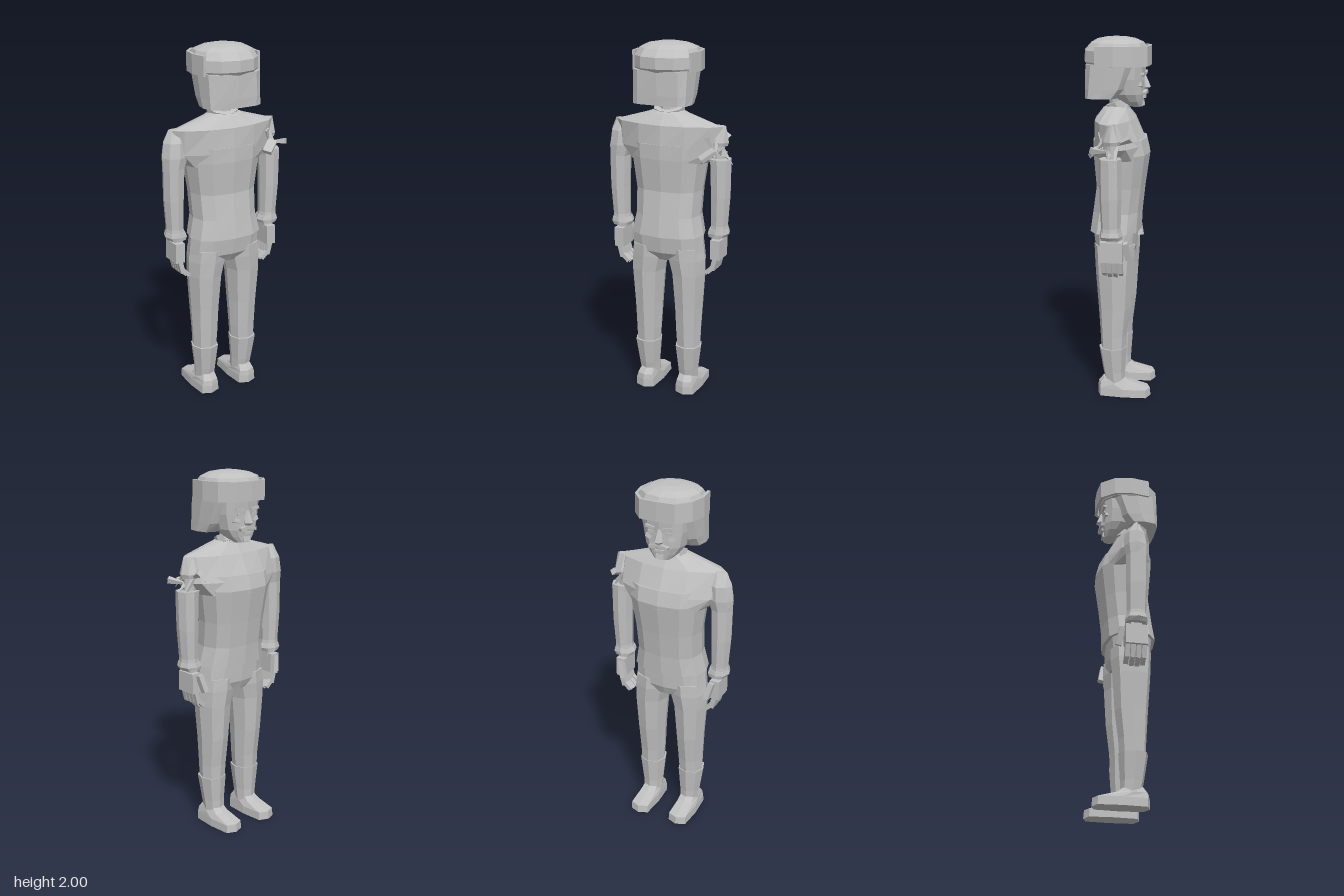
import * as THREE from 'three';

const cloth = new THREE.MeshStandardMaterial({ color: 0xc0c0c0 });
cloth.name = 'plain grey';

// Faceted loft; sections run upward as [y, centreX, halfWidth, zFront, zBack, power]
// power below 1 squares the outline, above 1 makes it lens shaped
function loft(sections, sides = 8) {
  const pos = [];
  const bend = (v, p) => Math.sign(v) * Math.pow(Math.abs(v) < 1e-6 ? 0 : Math.abs(v), p);
  const rings = sections.map(([y, cx, w, zf, zb, p = 1]) => {
    const ring = [];
    for (let i = 0; i < sides; i++) {
      const a = (i / sides) * Math.PI * 2;
      ring.push([cx + w * bend(Math.cos(a), p), y, (zf + zb) / 2 + ((zb - zf) / 2) * bend(Math.sin(a), p)]);
    }
    return ring;
  });
  const centre = ([y, cx, , zf, zb]) => [cx, y, (zf + zb) / 2];
  const low = centre(sections[0]), high = centre(sections[sections.length - 1]);
  const last = rings[rings.length - 1];
  for (let i = 0; i < sides; i++) {
    const j = (i + 1) % sides;
    for (let k = 0; k < rings.length - 1; k++) {
      const a = rings[k][i], b = rings[k][j], c = rings[k + 1][i], d = rings[k + 1][j];
      pos.push(...a, ...c, ...b, ...b, ...c, ...d);
    }
    pos.push(...low, ...rings[0][i], ...rings[0][j], ...high, ...last[j], ...last[i]);
  }
  const g = new THREE.BufferGeometry();
  g.setAttribute('position', new THREE.Float32BufferAttribute(pos, 3));
  g.computeVertexNormals();
  return g;
}

export function createModel() {
  const model = new THREE.Group();
  model.name = 'standingFigure';
  const add = (name, geometry, parent = model) => {
    const m = new THREE.Mesh(geometry, cloth);
    m.name = name;
    parent.add(m);
    return m;
  };
  const box = (name, w, h, d, x, y, z, rx = 0, rz = 0, parent = model) => {
    const m = add(name, new THREE.BoxGeometry(w, h, d), parent);
    m.position.set(x, y, z);
    m.rotation.set(rx, 0, rz);
    return m;
  };

  // Jacket: narrow body, then a lens-shaped yoke reaching both shoulders
  add('jacketBody', loft([
    [0.95, 0, 0.21, -0.125, 0.16, 0.8], [1.06, 0, 0.185, -0.13, 0.145, 0.8],
    [1.2, 0, 0.19, -0.145, 0.125, 0.8], [1.38, 0, 0.215, -0.17, 0.14, 0.8],
    [1.46, 0, 0.22, -0.15, 0.14, 0.8],
  ], 12));
  add('jacketYoke', loft([
    [1.36, 0, 0.23, -0.168, 0.138, 0.95], [1.43, 0, 0.31, -0.155, 0.14, 1.2],
    [1.565, 0, 0.31, -0.09, 0.132, 1.2], [1.62, 0, 0.12, -0.055, 0.09, 1],
    [1.635, 0, 0.08, -0.05, 0.07, 1],
  ], 12));

  // Trousers
  add('trouserSeat', loft([
    [0.8, 0, 0.12, -0.08, 0.09, 0.8], [0.85, 0, 0.212, -0.1, 0.125, 0.8],
    [0.96, 0, 0.203, -0.105, 0.14, 0.8],
  ], 12));

  for (const s of [1, -1]) {
    const side = s > 0 ? 'left' : 'right';
    const c = (x) => x * s;
    // Leg, boot shaft and shoe
    add(side + 'TrouserLeg', loft([
      [0.27, c(0.125), 0.068, -0.055, 0.085, 0.9], [0.36, c(0.123), 0.073, -0.06, 0.09, 0.9],
      [0.52, c(0.123), 0.08, -0.08, 0.1, 0.9], [0.72, c(0.122), 0.095, -0.092, 0.115, 0.9],
      [0.81, c(0.11), 0.107, -0.1, 0.122, 0.9], [0.88, c(0.105), 0.103, -0.1, 0.125, 0.9],
    ]));
    add(side + 'BootShaft', loft([
      [0.07, c(0.12), 0.056, -0.05, 0.06, 0.9], [0.14, c(0.122), 0.06, -0.05, 0.075, 0.9],
      [0.285, c(0.125), 0.077, -0.06, 0.098, 0.9],
    ]));
    add(side + 'Shoe', loft([
      [0, c(0.124), 0.063, -0.196, 0.105, 0.45], [0.045, c(0.124), 0.061, -0.192, 0.105, 0.45],
      [0.075, c(0.123), 0.055, -0.08, 0.1, 0.6], [0.105, c(0.121), 0.047, -0.04, 0.075, 0.7],
    ]));

    // Sleeve: one side is whole, the other is torn open below the shoulder
    const forearm = [
      [0.97, c(0.295), 0.055, -0.055, 0.06, 0.9], [1.02, c(0.297), 0.048, -0.05, 0.055, 0.9],
      [1.18, c(0.302), 0.055, -0.055, 0.062, 0.9], [1.36, c(0.3), 0.06, -0.055, 0.065, 0.9],
    ];
    const shoulder = [
      [1.42, c(0.29), 0.075, -0.065, 0.07, 1], [1.5, c(0.285), 0.07, -0.06, 0.06, 1.1],
      [1.568, c(0.275), 0.05, -0.015, 0.02, 1.1],
    ];
    if (s < 0) add('rightSleeve', loft([...forearm, ...shoulder]));
    else {
      add('leftLowerSleeve', loft([...forearm, [1.39, 0.297, 0.064, -0.055, 0.065, 0.9]]));
      add('leftTornShoulder', loft([
        [1.46, 0.275, 0.06, -0.05, 0.05, 1], [1.48, 0.28, 0.062, -0.055, 0.055, 1.1], shoulder[2],
      ]));
      add('leftInnerArm', loft([[1.38, 0.285, 0.035, -0.03, 0.03], [1.47, 0.28, 0.04, -0.03, 0.03]]));
      // Ragged strips round the tear
      for (let i = 0; i < 9; i++) {
        const a = (i / 9) * Math.PI * 2;
        const strip = add('tornStrip', new THREE.ConeGeometry(0.022, 0.1 + 0.03 * (i % 3), 4).toNonIndexed());
        strip.geometry.computeVertexNormals();
        strip.position.set(0.28 + 0.045 * Math.cos(a), 1.41 + 0.02 * (i % 4), 0.01 + 0.055 * Math.sin(a));
        strip.rotation.set(Math.PI + 0.7 * Math.sin(a * 2), a, 0.9 * (i % 2 ? 1 : -1));
      }
      box('tornFlap', 0.09, 0.022, 0.05, 0.255, 1.42, 0.09, 0.3, 0.4).rotation.y = 0.7;
    }
    add(side + 'Cuff', loft([
      [0.955, c(0.29), 0.05, -0.058, 0.062, 0.8], [0.975, c(0.293), 0.062, -0.06, 0.064, 0.8],
      [1.0, c(0.295), 0.053, -0.054, 0.06, 0.8],
    ]));

    // Hand with inward-curling fingers
    const hand = new THREE.Group();
    hand.name = side + 'Hand';
    model.add(hand);
    box('wrist', 0.045, 0.05, 0.06, c(0.285), 0.95, 0, 0, 0, hand);
    box('palm', 0.055, 0.11, 0.12, c(0.293), 0.885, 0, 0, 0, hand);
    for (let i = 0; i < 4; i++) {
      const z = -0.045 + i * 0.03, drop = i % 3 ? 0 : 0.008;
      box('fingerBase', 0.026, 0.075, 0.026, c(0.284), 0.803, z, 0, -0.25 * s, hand);
      box('fingerTip', 0.022, 0.05, 0.024, c(0.255), 0.755 + drop, z, 0, -0.8 * s, hand);
    }
    box('thumb', 0.03, 0.1, 0.032, c(0.27), 0.885, -0.078, 0.2, -0.25 * s, hand);
  }

  // Neck and tilted collar
  add('neck', loft([[1.59, 0, 0.062, -0.055, 0.06], [1.74, 0, 0.062, -0.06, 0.05]], 10));
  const collar = add('collar', loft([[-0.022, 0, 0.085, -0.07, 0.07], [0.022, 0, 0.088, -0.07, 0.07]], 10));
  collar.position.set(0, 1.637, 0.005);
  collar.rotation.x = -0.4;
  collar.rotation.x *= -1;

  // Face
  add('face', loft([
    [1.63, 0, 0.045, -0.128, -0.06, 0.8], [1.66, 0, 0.08, -0.132, 0, 0.8],
    [1.7, 0, 0.108, -0.138, 0.05, 0.8], [1.78, 0, 0.125, -0.138, 0.06, 0.8],
    [1.87, 0, 0.13, -0.145, 0.06, 0.8],
  ], 12));
  add('nose', loft([
    [1.722, 0, 0.016, -0.155, -0.12], [1.735, 0, 0.024, -0.172, -0.12], [1.8, 0, 0.01, -0.143, -0.12],
  ], 6));
  box('lowerLip', 0.05, 0.012, 0.02, 0, 1.682, -0.134);
  box('chin', 0.045, 0.03, 0.025, 0, 1.648, -0.122, 0.2);
  for (const s of [1, -1]) {
    box('moustacheHalf', 0.055, 0.018, 0.026, s * 0.027, 1.708, -0.138, 0, -s * 0.25);
    box('eyebrow', 0.055, 0.014, 0.022, s * 0.052, 1.807, -0.132, 0, s * 0.15);
    box('eye', 0.034, 0.014, 0.008, s * 0.05, 1.78, -0.133);
    box('cheekbone', 0.035, 0.022, 0.02, s * 0.066, 1.75, -0.121, 0.2, s * 0.3);
  }

  // Long hair hanging behind and beside the face
  add('hair', loft([
    [1.68, 0, 0.162, 0.0, 0.175, 0.5], [1.73, 0, 0.164, -0.045, 0.177, 0.5],
    [1.86, 0, 0.168, -0.1, 0.177, 0.55],
  ], 12));

  // Rounded cap with a turned-up front flap
  add('cap', loft([
    [1.848, 0, 0.175, -0.155, 0.175, 0.9], [1.87, 0, 0.18, -0.158, 0.192, 0.9],
    [1.93, 0, 0.178, -0.156, 0.19, 0.9], [1.97, 0, 0.158, -0.135, 0.155, 0.9],
    [1.99, 0, 0.115, -0.09, 0.12, 0.95], [2.0, 0, 0.055, -0.04, 0.07, 1],
  ], 12));
  const rim = [[0.17, 0.11], [0.184, 0.01], [0.163, -0.09], [0.1, -0.163], [0, -0.17]];
  const outline = [...rim, ...rim.slice(0, 4).reverse().map(([x, z]) => [-x, z])];
  const inner = outline.map(([x, z]) => [x * 0.91, z < 0 ? z * 0.91 : z]).reverse();
  const flapShape = new THREE.Shape([...outline, ...inner].map(([x, z]) => new THREE.Vector2(x, -z)));
  const flap = new THREE.ExtrudeGeometry(flapShape, { depth: 0.105, bevelEnabled: false });
  flap.rotateX(-Math.PI / 2);
  add('capFlap', flap).position.y = 1.85;

  return model;
}
